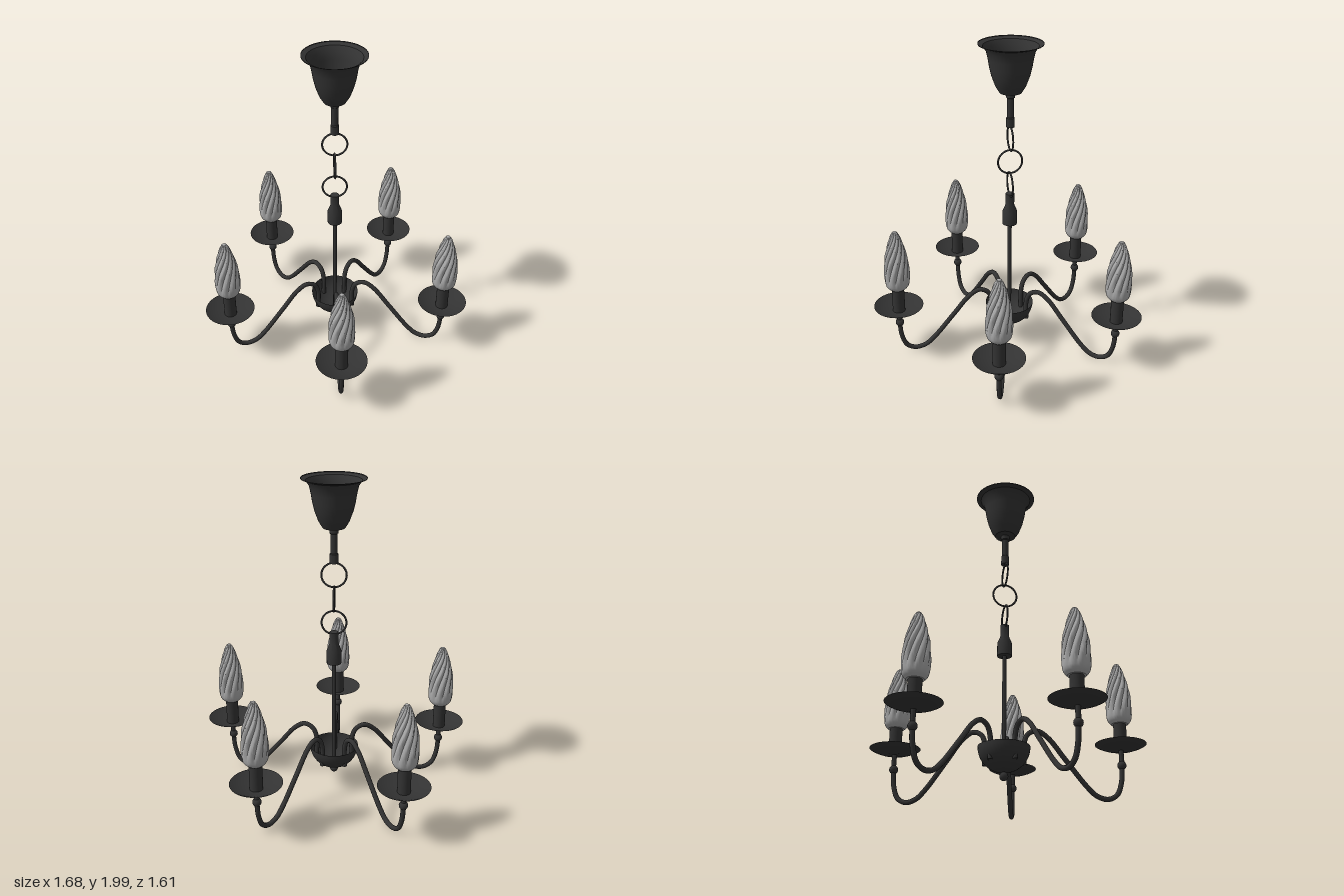
import * as THREE from 'three';
import { toCreasedNormals } from 'three/addons/utils/BufferGeometryUtils.js';

const iron = new THREE.MeshStandardMaterial({ color: 0x333333, side: THREE.DoubleSide });
const glass = new THREE.MeshStandardMaterial({ color: 0xaaaaaa });

function add(parent, name, geometry, material = iron) {
  const mesh = new THREE.Mesh(geometry, material);
  mesh.name = name;
  parent.add(mesh);
  return mesh;
}

// Turned part from [radius, height] pairs, listed bottom to top
function turned(points, segments = 32) {
  const profile = points.map(([r, y]) => new THREE.Vector2(r, y));
  return toCreasedNormals(new THREE.LatheGeometry(profile, segments), 0.6);
}

// Flame-shaped bulb: a turned body with ten grooves that wind upwards
function bulbGeometry() {
  const outline = new THREE.SplineCurve([
    [0.05, 0.485], [0.073, 0.515], [0.08, 0.58], [0.078, 0.64], [0.07, 0.71],
    [0.05, 0.79], [0.03, 0.85], [0.014, 0.878],
  ].map(([r, y]) => new THREE.Vector2(r, y))).getPoints(24);
  const points = [new THREE.Vector2(0, 0.485), ...outline, new THREE.Vector2(0, 0.882)];
  const geometry = new THREE.LatheGeometry(points, 60);
  const pos = geometry.attributes.position;
  for (let i = 0; i < pos.count; i++) {
    const x = pos.getX(i), y = pos.getY(i), z = pos.getZ(i);
    const t = THREE.MathUtils.clamp((y - 0.5) / 0.38, 0, 1);
    const angle = Math.atan2(x, z);
    const depth = 0.16 * Math.min(1, t * 3);
    const k = 1 - depth * (1 - Math.abs(Math.sin(angle * 5)));
    const a = angle + 1.7 * t * t + 0.4 * t;
    const r = Math.hypot(x, z) * k;
    pos.setXYZ(i, r * Math.sin(a), y, r * Math.cos(a));
  }
  return toCreasedNormals(geometry, 0.5);
}

export function createModel() {
  const model = new THREE.Group();
  model.name = 'chandelier';
  const body = new THREE.Group();
  body.name = 'body';
  body.position.z = -0.07;
  model.add(body);

  // Ceiling canopy, open at the top, and its hanging stem
  add(body, 'canopy', turned([
    [0, 1.705], [0.065, 1.71], [0.09, 1.75], [0.112, 1.81], [0.124, 1.86],
    [0.132, 1.91], [0.142, 1.955], [0.162, 1.985], [0.19, 1.995], [0.19, 2],
  ], 40));
  add(body, 'stem', turned([
    [0, 1.498], [0.025, 1.498], [0.025, 1.555], [0.021, 1.56],
    [0.021, 1.675], [0.027, 1.68], [0.027, 1.71],
  ], 20));

  // Three chain rings, the middle one turned a quarter
  [1.425, 1.275, 1.125].forEach((y, i) => {
    const ring = add(body, 'chainRing', new THREE.TorusGeometry(0.075, 0.006, 8, 40));
    ring.position.y = y;
    ring.rotation.y = i === 1 ? Math.PI / 2 : 0;
  });

  // Socket under the chain, central rod, bowl and finial
  add(body, 'rodCap', turned([
    [0, 0.86], [0.045, 0.86], [0.045, 0.945], [0.027, 0.99], [0.027, 1.065], [0, 1.065],
  ], 20));
  const rod = add(body, 'rod', new THREE.CylinderGeometry(0.013, 0.013, 0.74, 14));
  rod.position.y = 0.51;
  const bowlProfile = [];
  for (let i = 0; i <= 12; i++) {
    const a = (i / 12) * Math.PI / 2;
    bowlProfile.push([0.153 * Math.sin(a), 0.29 - 0.15 * Math.cos(a)]);
  }
  add(body, 'bowl', turned(bowlProfile, 36));
  const finial = add(body, 'finial', new THREE.SphereGeometry(0.026, 16, 12));
  finial.position.y = 0.116;

  // Parts shared by the five arms; z runs outwards from the centre
  const armPath = new THREE.CatmullRomCurve3([
    [0.12, 0.19], [0.12, 0.32], [0.145, 0.38], [0.2, 0.402], [0.265, 0.365], [0.37, 0.24],
    [0.5, 0.085], [0.56, 0.035], [0.625, 0.022], [0.68, 0.05], [0.71, 0.12], [0.72, 0.21], [0.72, 0.33],
  ].map(([r, y]) => new THREE.Vector3(0, y, r)));
  const armGeometry = new THREE.TubeGeometry(armPath, 80, 0.015, 10);
  const knotGeometry = new THREE.SphereGeometry(0.027, 16, 12);
  const saucerGeometry = turned([[0, 0.32], [0.05, 0.322], [0.1, 0.335], [0.135, 0.349], [0.155, 0.36]], 40);
  const candleGeometry = new THREE.CylinderGeometry(0.039, 0.039, 0.167, 24);
  const flameGeometry = bulbGeometry();

  for (let i = 0; i < 5; i++) {
    const arm = new THREE.Group();
    arm.name = 'armAssembly';
    arm.rotation.y = (i / 5) * Math.PI * 2;
    body.add(arm);
    add(arm, 'arm', armGeometry);
    add(arm, 'armKnot', knotGeometry).position.set(0, 0.23, 0.72);
    add(arm, 'saucer', saucerGeometry).position.z = 0.72;
    add(arm, 'candle', candleGeometry).position.set(0, 0.405, 0.72);
    add(arm, 'bulb', flameGeometry, glass).position.z = 0.72;
  }
  return model;
}
